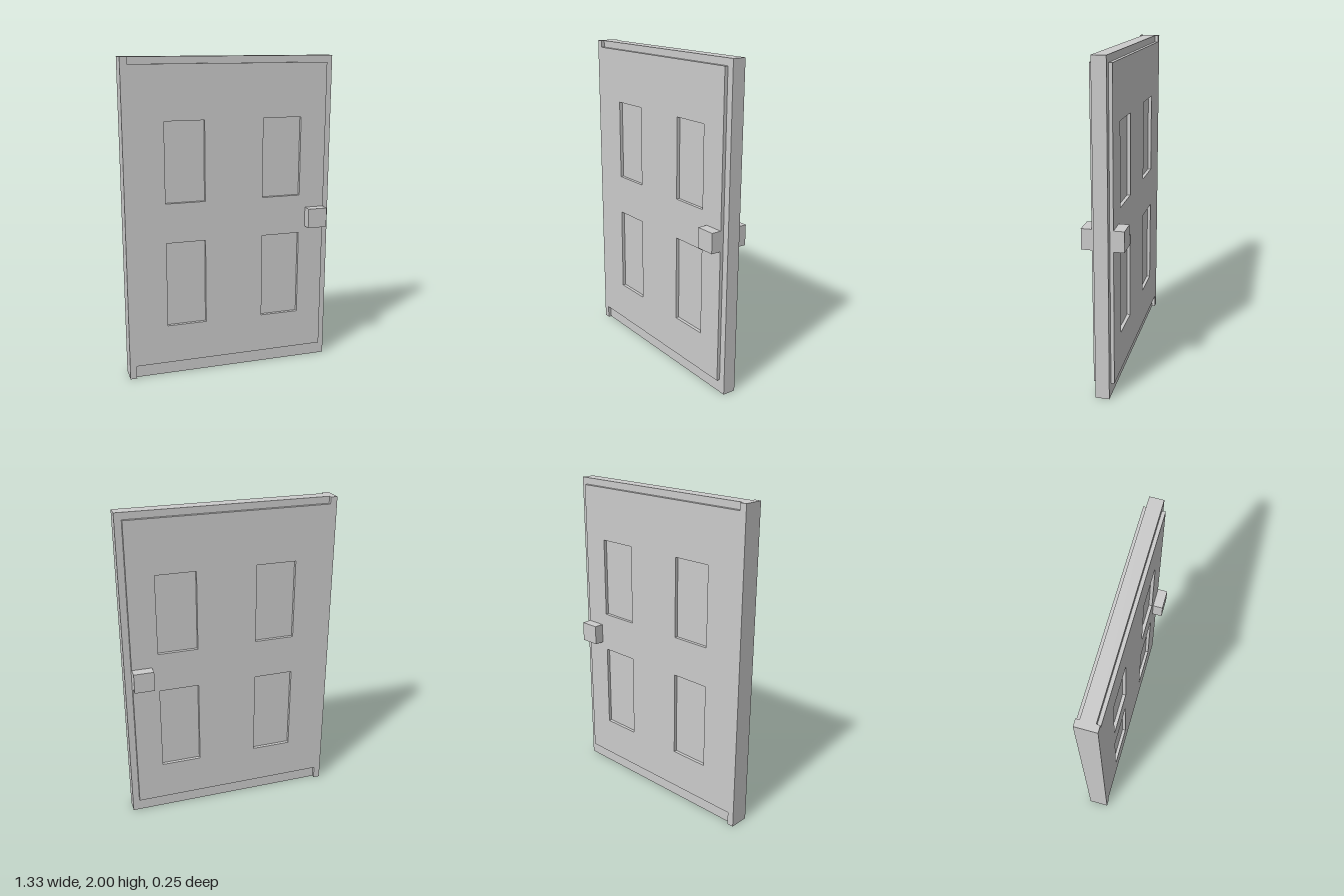
import * as THREE from 'three';

const W = 0.6667, H = 2;      // half width, height
const CORE = 0.0417;          // half thickness of the core slab
const SKIN = 0.0208;          // thickness of each raised face
const KNOB = 0.125;

const grey = new THREE.MeshStandardMaterial({ color: 0xcccccc, flatShading: true });

function box(name, w, h, d, x, y, z) {
  const mesh = new THREE.Mesh(new THREE.BoxGeometry(w, h, d), grey);
  mesh.name = name;
  mesh.position.set(x, y, z);
  return mesh;
}

function path(points, Type = THREE.Shape) {
  return new Type(points.map(([x, y]) => new THREE.Vector2(x, y)));
}

// Raised face: full height along the hinge edge, stepped back on the other three
function faceGeometry() {
  const hinge = -0.625, latch = 0.625, low = 0.0833, high = 1.9583;
  const shape = path([
    [-W, 0], [hinge, 0], [hinge, low], [latch, low],
    [latch, high], [hinge, high], [hinge, H], [-W, H],
  ]);
  // Four sunken panels
  for (const [x0, x1] of [[-0.4167, -0.1667], [0.2083, 0.4583]]) {
    for (const [y0, y1] of [[0.3333, 0.875], [1.125, 1.625]]) {
      shape.holes.push(path([[x0, y0], [x0, y1], [x1, y1], [x1, y0]], THREE.Path));
    }
  }
  return new THREE.ExtrudeGeometry(shape, { depth: SKIN, bevelEnabled: false });
}

export function createModel() {
  const door = new THREE.Group();
  door.name = 'door';
  door.add(box('coreSlab', 2 * W, H, 2 * CORE, 0, H / 2, 0));

  const geometry = faceGeometry();
  const knobDepth = KNOB - CORE - SKIN;
  for (const [side, s] of [['front', 1], ['back', -1]]) {
    const face = new THREE.Mesh(geometry, grey);
    face.name = side + 'Face';
    face.position.z = s > 0 ? CORE : -CORE - SKIN;
    door.add(face);

    // Square knob, flush with the latch edge of the face
    door.add(box(side + 'Knob', KNOB, KNOB, knobDepth,
      0.5625, 0.9792, s * (CORE + SKIN + knobDepth / 2)));
  }
  return door;
}
